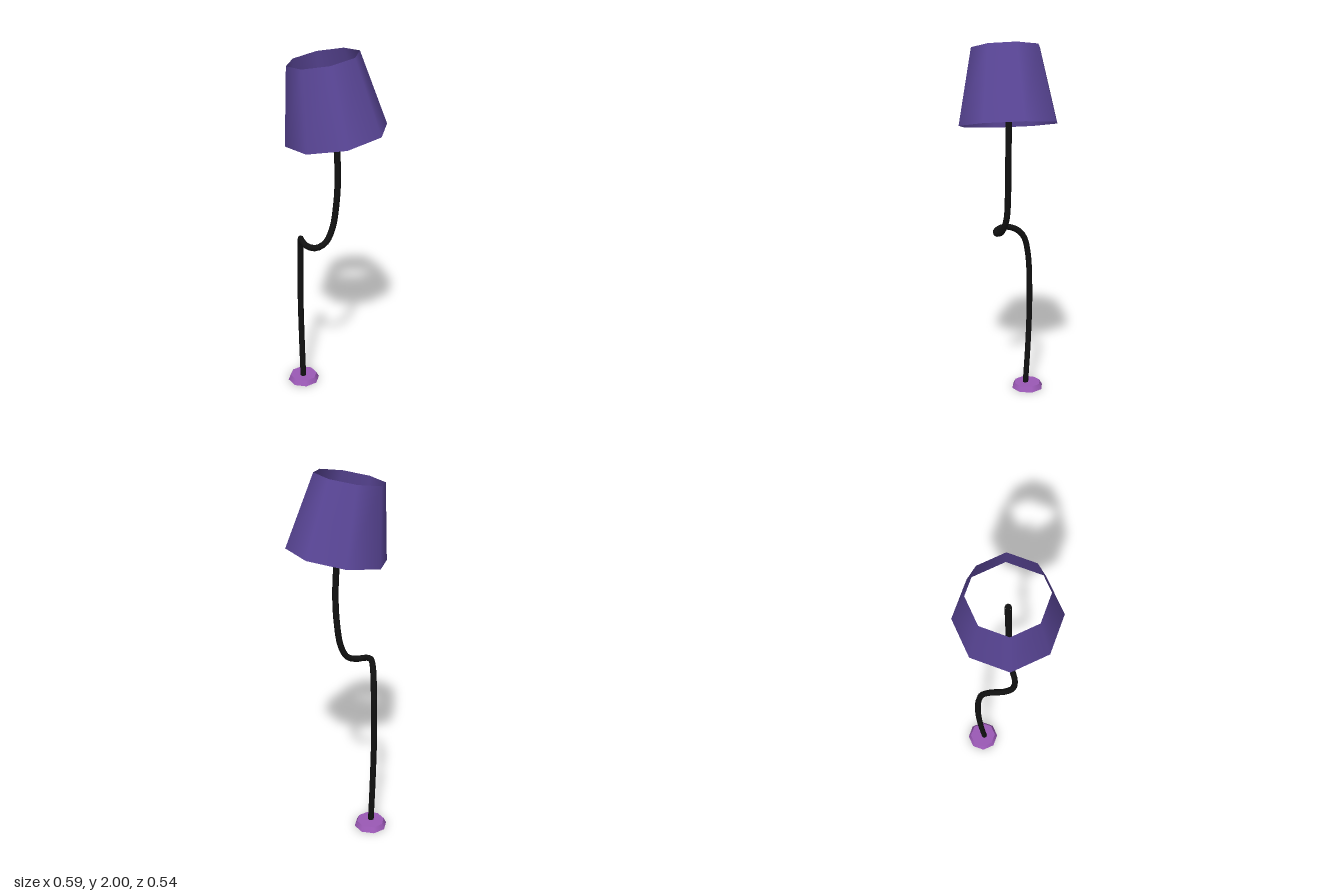
import * as THREE from 'three';

const material = (color, side = THREE.FrontSide) => new THREE.MeshStandardMaterial({ color, side });

function addMesh(group, name, geometry, mat) {
  const mesh = new THREE.Mesh(geometry, mat);
  mesh.name = name;
  group.add(mesh);
  return mesh;
}

export function createModel() {
  const lamp = new THREE.Group();
  lamp.name = 'floorLamp';
  const black = material(0x111111);

  // Small octagonal foot
  const base = addMesh(lamp, 'base', new THREE.CylinderGeometry(0.078, 0.093, 0.03, 8), material(0x9b59b6));
  base.position.set(-0.204, 0.015, 0);

  // Pole with a loop that swings forward halfway up
  const path = new THREE.CatmullRomCurve3([
    [-0.2, 0.02, 0.01], [-0.214, 0.3, 0], [-0.22, 0.58, -0.004], [-0.21, 0.82, 0.003],
    [-0.194, 0.92, 0.022], [-0.166, 0.966, 0.058], [-0.12, 0.983, 0.11], [-0.07, 0.972, 0.13],
    [-0.03, 0.963, 0.108], [0, 0.985, 0.058], [0.018, 1.06, 0.02], [0.032, 1.2, 0.003],
    [0.037, 1.35, -0.002], [0.03, 1.54, 0], [0.024, 1.7, 0.003],
  ].map(p => new THREE.Vector3(...p)));
  const radius = 0.017;
  addMesh(lamp, 'pole', new THREE.TubeGeometry(path, 80, radius, 8), black);

  // Closed tip of the pole
  const tip = addMesh(lamp, 'poleTip', new THREE.CircleGeometry(radius, 8), black);
  tip.position.copy(path.getPoint(1));
  tip.quaternion.setFromUnitVectors(new THREE.Vector3(0, 0, 1), path.getTangent(1));

  // Tilted, open lampshade
  const bottom = new THREE.Vector3(0.028, 1.576, -0.001);
  const top = new THREE.Vector3(-0.022, 1.968, 0.043);
  const axis = top.clone().sub(bottom);
  const shade = addMesh(lamp, 'shade',
    new THREE.CylinderGeometry(0.187, 0.27, axis.length(), 8, 1, true),
    material(0x5b4799, THREE.DoubleSide));
  shade.position.copy(bottom).add(top).multiplyScalar(0.5);
  shade.quaternion.setFromUnitVectors(new THREE.Vector3(0, 1, 0), axis.normalize());

  return lamp;
}
